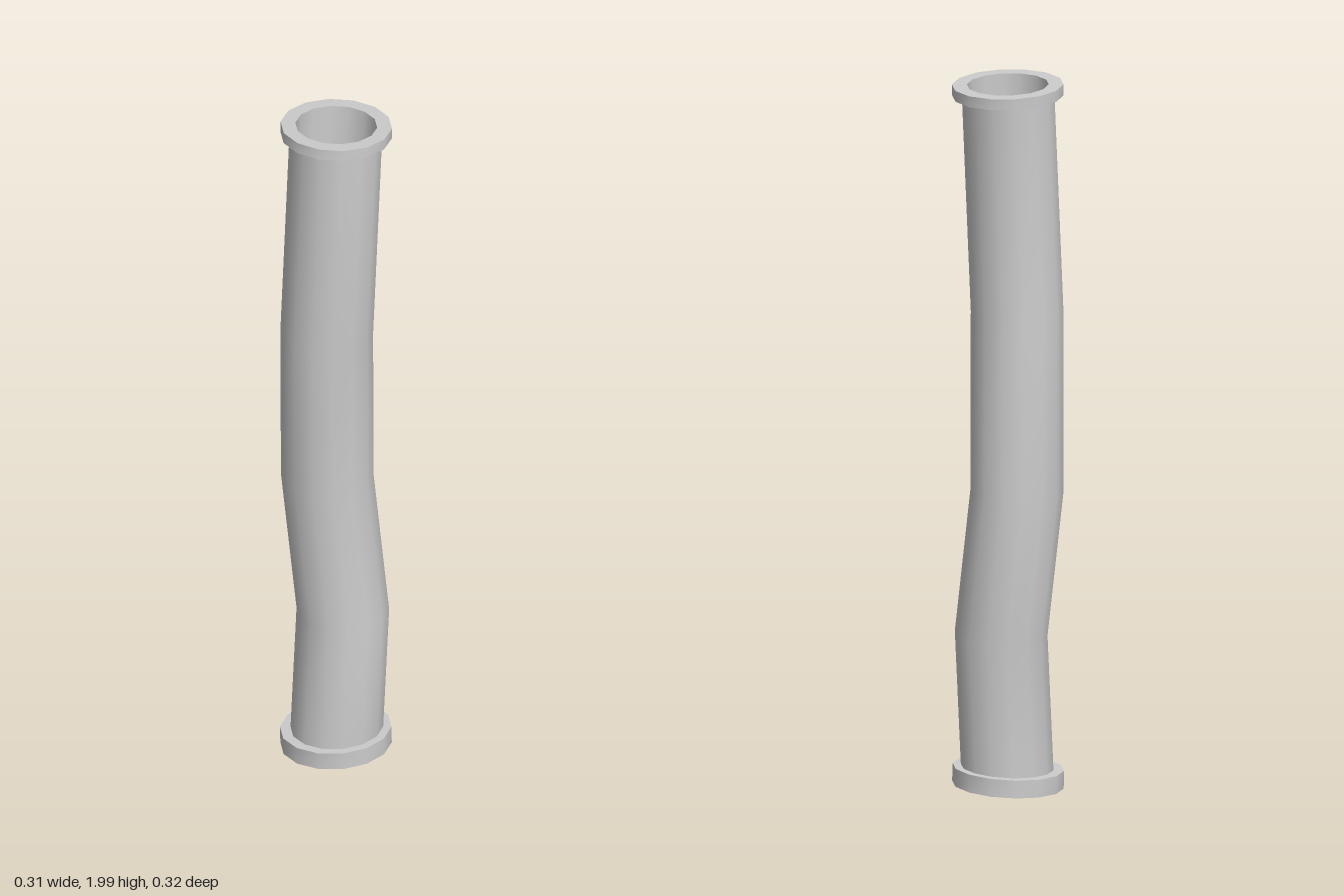
import * as THREE from 'three';
import { mergeGeometries } from 'three/addons/utils/BufferGeometryUtils.js';

const SIDES = 14;
const OUTER = 0.128, BORE = 0.113, FLANGE = 0.154;

// A ring is a centre, a radius and the slopes of its plane in x and z
const ring = (x, y, z, radius, sx = 0, sz = 0) => ({ x, y, z, radius, sx, sz });
const resize = (r, radius) => ({ ...r, radius });

// Smooth skin through consecutive rings; running upward it faces outward
function skin(rings) {
  const positions = [], index = [];
  rings.forEach((r, j) => {
    for (let i = 0; i < SIDES; i++) {
      const a = (i / SIDES) * Math.PI * 2;
      const dx = r.radius * Math.cos(a), dz = -r.radius * Math.sin(a);
      positions.push(r.x + dx, r.y + r.sx * dx + r.sz * dz, r.z + dz);
      if (j === 0) continue;
      const k = (i + 1) % SIDES, lo = (j - 1) * SIDES, hi = j * SIDES;
      index.push(lo + i, lo + k, hi + k, lo + i, hi + k, hi + i);
    }
  });
  const geometry = new THREE.BufferGeometry();
  geometry.setAttribute('position', new THREE.Float32BufferAttribute(positions, 3));
  geometry.setIndex(index);
  geometry.computeVertexNormals();
  return geometry;
}

export function createModel() {
  const group = new THREE.Group();
  const material = new THREE.MeshStandardMaterial({ color: 0xcccccc });
  const add = (name, geometry) => {
    const mesh = new THREE.Mesh(geometry, material);
    mesh.name = name;
    group.add(mesh);
  };

  // Slightly tilted end planes and the bends between them
  const bottom = ring(0.002, 0.012, 0.012, OUTER, 0.04, 0.04);
  const bottomInner = ring(0.001, 0.062, 0.012, OUTER, 0.04, 0.04);
  const topInner = ring(0.002, 1.957, 0.012, OUTER, -0.04, 0.04);
  const top = ring(0.003, 1.988, 0.011, OUTER, -0.04, 0.04);
  const path = [
    bottom,
    ring(0.02, 0.44, 0.017, OUTER, 0.01, 0.06),
    ring(-0.007, 0.85, -0.034, OUTER, 0.05, 0.01),
    ring(-0.028, 1.345, 0.02, OUTER, 0, -0.05),
    top,
  ];

  // Bent pipe: outside wall and the bore running through it
  add('pipeWall', skin(path));
  add('pipeBore', skin(path.map((r) => resize(r, BORE)).reverse()));

  // End flanges: rim, upper face and lower face, with crisp edges between
  const flange = (low, high) => mergeGeometries([
    skin([resize(low, FLANGE), resize(high, FLANGE)]),
    skin([resize(high, FLANGE), resize(high, BORE)]),
    skin([resize(low, BORE), resize(low, FLANGE)]),
  ]);
  add('bottomFlange', flange(bottom, bottomInner));
  add('topFlange', flange(topInner, top));

  return group;
}
